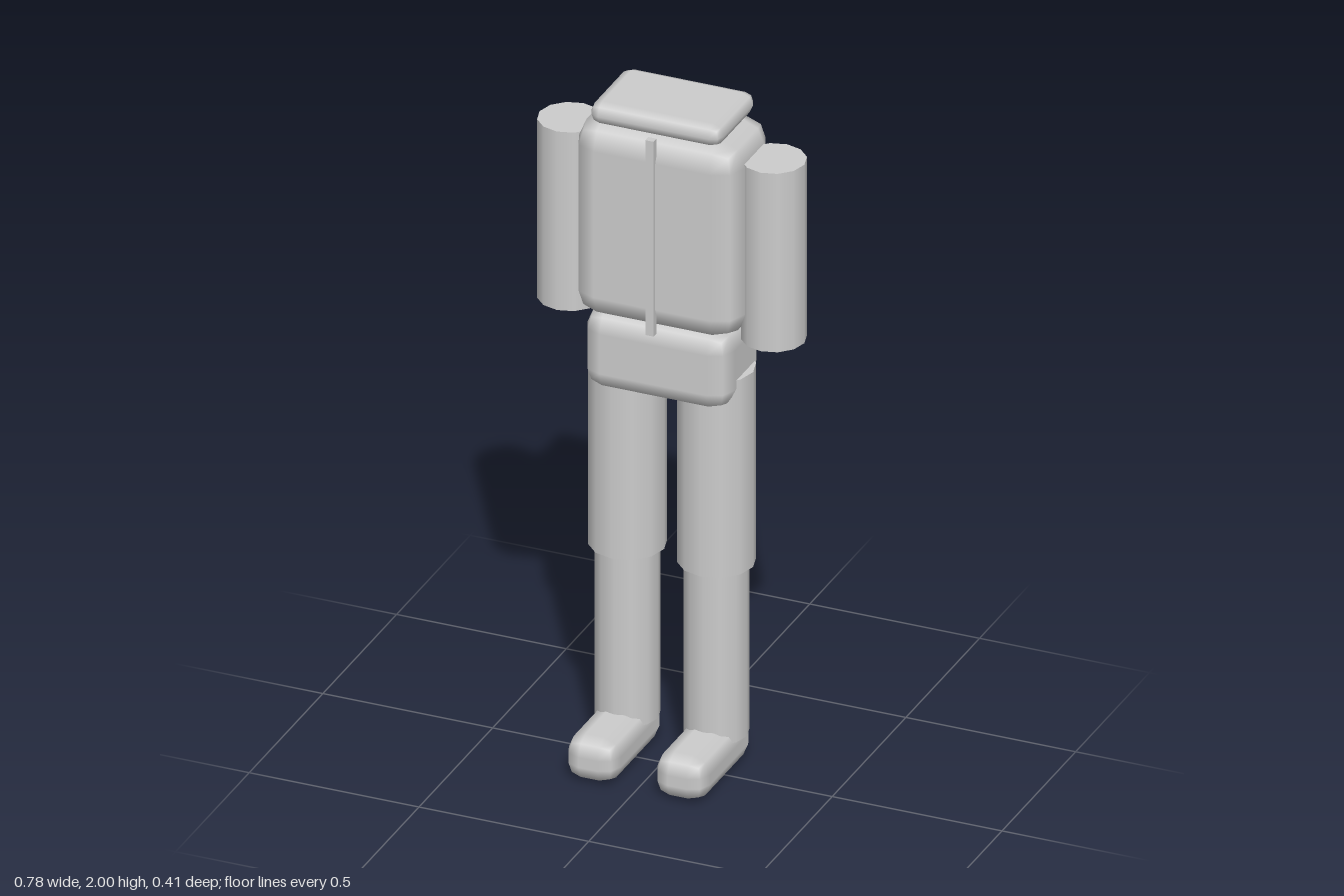
import * as THREE from 'three';
import { RoundedBoxGeometry } from 'three/addons/geometries/RoundedBoxGeometry.js';

export function createModel() {
  const group = new THREE.Group();
  const lightGrey = new THREE.MeshStandardMaterial({ color: 0xcccccc });
  lightGrey.name = 'lightGrey';

  const add = (name, geometry, x, y, z) => {
    const mesh = new THREE.Mesh(geometry, lightGrey);
    mesh.name = name;
    mesh.position.set(x, y, z);
    group.add(mesh);
  };

  // Box with one bevel ring, given by its lower/upper y and back/front z
  const roundedBlock = (name, width, [y0, y1], [z0, z1], radius, x = 0) =>
    add(name, new RoundedBoxGeometry(width, y1 - y0, z1 - z0, 1, radius),
      x, (y0 + y1) / 2, (z0 + z1) / 2);

  // Smooth twelve-sided limb
  const limb = (name, radius, y0, y1, x) =>
    add(name, new THREE.CylinderGeometry(radius, radius, y1 - y0, 12),
      x, (y0 + y1) / 2, -0.065);

  // Body
  roundedBlock('collar', 0.39, [1.935, 2], [-0.197, 0.063], 0.032);
  roundedBlock('torso', 0.49, [1.345, 1.94], [-0.208, 0.077], 0.075);
  roundedBlock('pelvis', 0.434, [1.125, 1.365], [-0.195, 0.067], 0.06);

  // Front zip
  add('zip', new THREE.BoxGeometry(0.024, 0.595, 0.02), 0, 1.642, 0.078);

  // Arms, legs and feet
  for (const [side, s] of [['left', 1], ['right', -1]]) {
    limb(side + 'Arm', 0.09, 1.33, 1.875, s * 0.3);
    limb(side + 'Thigh', 0.108, 0.615, 1.21, s * 0.131);
    limb(side + 'Shin', 0.09, 0.095, 0.618, s * 0.131);
    roundedBlock(side + 'Foot', 0.154, [0, 0.13], [-0.153, 0.206], 0.05, s * 0.131);
  }
  return group;
}
